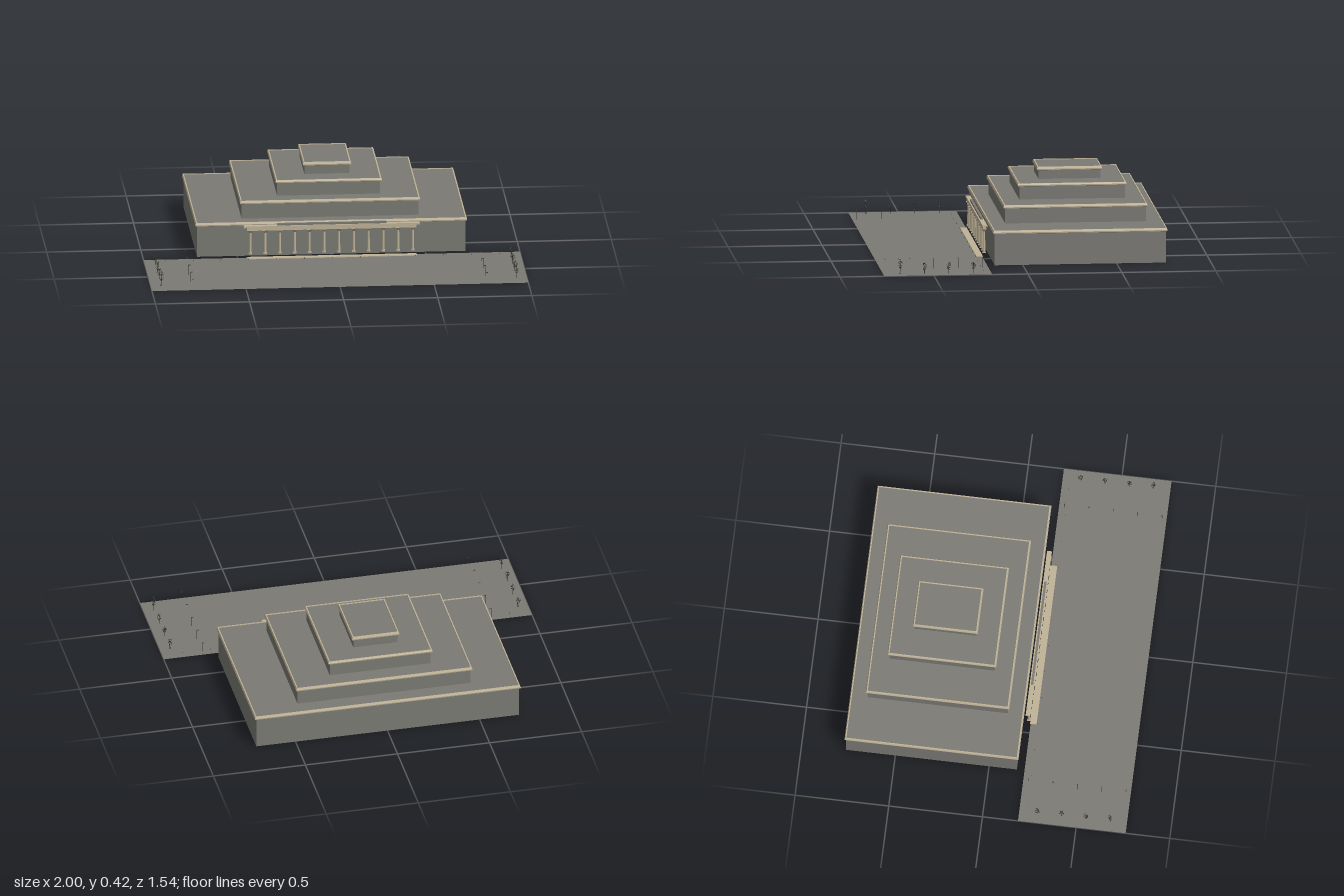
import * as THREE from 'three';

const mat = (name, color, side = THREE.FrontSide) => {
  const m = new THREE.MeshStandardMaterial({ color, side });
  m.name = name;
  return m;
};

// Rectangular band: a [offset, y] profile carried round a rectangle, one flat quad per side
function rectBand(hx, zBack, zFront, profile) {
  const pos = [];
  const corners = ([o, y]) => [
    [-hx - o, y, zFront + o], [hx + o, y, zFront + o],
    [hx + o, y, zBack - o], [-hx - o, y, zBack - o]];
  for (let i = 0; i < profile.length - 1; i++) {
    const a = corners(profile[i]), b = corners(profile[i + 1]);
    for (let k = 0; k < 4; k++) {
      const n = (k + 1) % 4;
      pos.push(...a[k], ...a[n], ...b[n], ...a[k], ...b[n], ...b[k]);
    }
  }
  const g = new THREE.BufferGeometry();
  g.setAttribute('position', new THREE.Float32BufferAttribute(pos, 3));
  g.computeVertexNormals();
  return g;
}

export function createModel() {
  const root = new THREE.Group();
  root.name = 'steppedHall';
  const stone = mat('greyStone', 0x7b7a74, THREE.DoubleSide);
  const trim = mat('beigeTrim', 0xbfb297, THREE.DoubleSide);
  const dark = mat('darkMetal', 0x3c3b38);
  const leaf = mat('darkFoliage', 0x34372f, THREE.DoubleSide);

  const add = (parent, name, geo, material, x = 0, y = 0, z = 0) => {
    const m = new THREE.Mesh(geo, material);
    m.name = name;
    m.position.set(x, y, z);
    parent.add(m);
    return m;
  };
  const box = (parent, name, material, w, h, d, x, y, z) =>
    add(parent, name, new THREE.BoxGeometry(w, h, d), material, x, y, z);
  const sheet = (parent, name, w, d, y, z) =>
    add(parent, name, new THREE.PlaneGeometry(w, d).rotateX(-Math.PI / 2), stone, 0, y, z);

  // Four stacked tiers: half width, back z, front z, base y, cornice y, top y
  const tiers = [
    [0.713, -0.762, 0.149, 0, 0.167, 0.186],
    [0.470, -0.678, 0.070, 0.182, 0.261, 0.280],
    [0.274, -0.586, -0.024, 0.276, 0.345, 0.362],
    [0.120, -0.470, -0.141, 0.358, 0.404, 0.424]];
  tiers.forEach(([hx, zb, zf, y0, yc, y1], i) => {
    const tier = new THREE.Group();
    tier.name = 'tier' + (i + 1);
    root.add(tier);
    add(tier, 'walls', rectBand(hx, zb, zf, [[0, y0], [0, y1 - 0.004]]), stone);
    sheet(tier, 'roof', 2 * hx, zf - zb, y1 - 0.004, (zf + zb) / 2);
    add(tier, 'cornice', rectBand(hx, zb, zf, [
      [0, yc], [0.008, yc + 0.003], [0.009, yc + 0.009],
      [0.005, y1], [-0.001, y1], [-0.001, y1 - 0.004]]), trim);
  });

  // Forecourt and entrance step
  sheet(root, 'forecourt', 2, 0.575, 0.001, 0.477);
  box(root, 'entranceStep', trim, 0.9, 0.004, 0.035, 0, 0.003, 0.204);

  // Freestanding colonnade with beam and parapet
  const colonnade = new THREE.Group();
  colonnade.name = 'colonnade';
  root.add(colonnade);
  const shaft = new THREE.CylinderGeometry(0.006, 0.007, 0.122, 10);
  const flare = new THREE.CylinderGeometry(0.02, 0.008, 0.014, 4, 1).rotateY(Math.PI / 4);
  for (let i = 0; i < 12; i++) {
    const x = (i - 5.5) * 0.0785;
    add(colonnade, 'columnShaft', shaft, trim, x, 0.083, 0.179);
    add(colonnade, 'columnCapital', flare, trim, x, 0.142, 0.179);
    box(colonnade, 'columnBase', trim, 0.018, 0.006, 0.018, x, 0.022, 0.179);
  }
  box(colonnade, 'beam', trim, 0.9, 0.018, 0.018, 0, 0.157, 0.178);
  box(colonnade, 'beamCap', trim, 0.935, 0.009, 0.026, 0, 0.169, 0.178);
  box(colonnade, 'parapet', stone, 0.58, 0.011, 0.012, 0, 0.179, 0.178);

  // Seeded numbers for the trees
  let seed = 7;
  const rnd = () => (seed = (seed * 16807) % 2147483647) / 2147483647;

  // Sparse tree: thin trunk with small leaf blades around it
  function tree(x, z, h) {
    const g = new THREE.Group();
    g.name = 'tree';
    g.position.set(x, 0, z);
    root.add(g);
    add(g, 'trunk', new THREE.CylinderGeometry(0.001, 0.0018, h, 5), dark, 0, h / 2, 0);
    const pos = [];
    for (let i = 0; i < 34; i++) {
      const a = rnd() * Math.PI * 2, t = 0.35 + 0.65 * rnd();
      const r = 0.014 * Math.sin(Math.PI * Math.min(1, (t - 0.25) / 0.85)) * (0.4 + 0.6 * rnd());
      const c = Math.cos(a), s = Math.sin(a), y = h * t;
      pos.push(c * r - s * 0.003, y, s * r + c * 0.003,
        c * r + s * 0.003, y + 0.002, s * r - c * 0.003,
        c * (r + 0.003), y + 0.007, s * (r + 0.003));
    }
    const leaves = new THREE.BufferGeometry();
    leaves.setAttribute('position', new THREE.Float32BufferAttribute(pos, 3));
    leaves.computeVertexNormals();
    add(g, 'leaves', leaves, leaf);
  }

  for (const s of [-1, 1]) {
    [0.285, 0.415, 0.545, 0.675].forEach((z, i) => tree(s * 0.945, z, i === 3 ? 0.08 : 0.056));
    // Street lamps with a short arm
    for (let i = 0; i < 5; i++) {
      const z = 0.22 + i * 0.13;
      add(root, 'lampPost', new THREE.CylinderGeometry(0.0006, 0.0008, 0.055, 6), dark, s * 0.785, 0.0275, z);
      box(root, 'lampHead', dark, 0.012, 0.002, 0.004, s * 0.78, 0.055, z);
    }
  }

  // Low bollards along the building edge
  for (let i = 0; i < 13; i++)
    add(root, 'bollard', new THREE.CylinderGeometry(0.0015, 0.0015, 0.006, 6), dark, (i - 6) * 0.148, 0.004, 0.228);

  return root;
}
